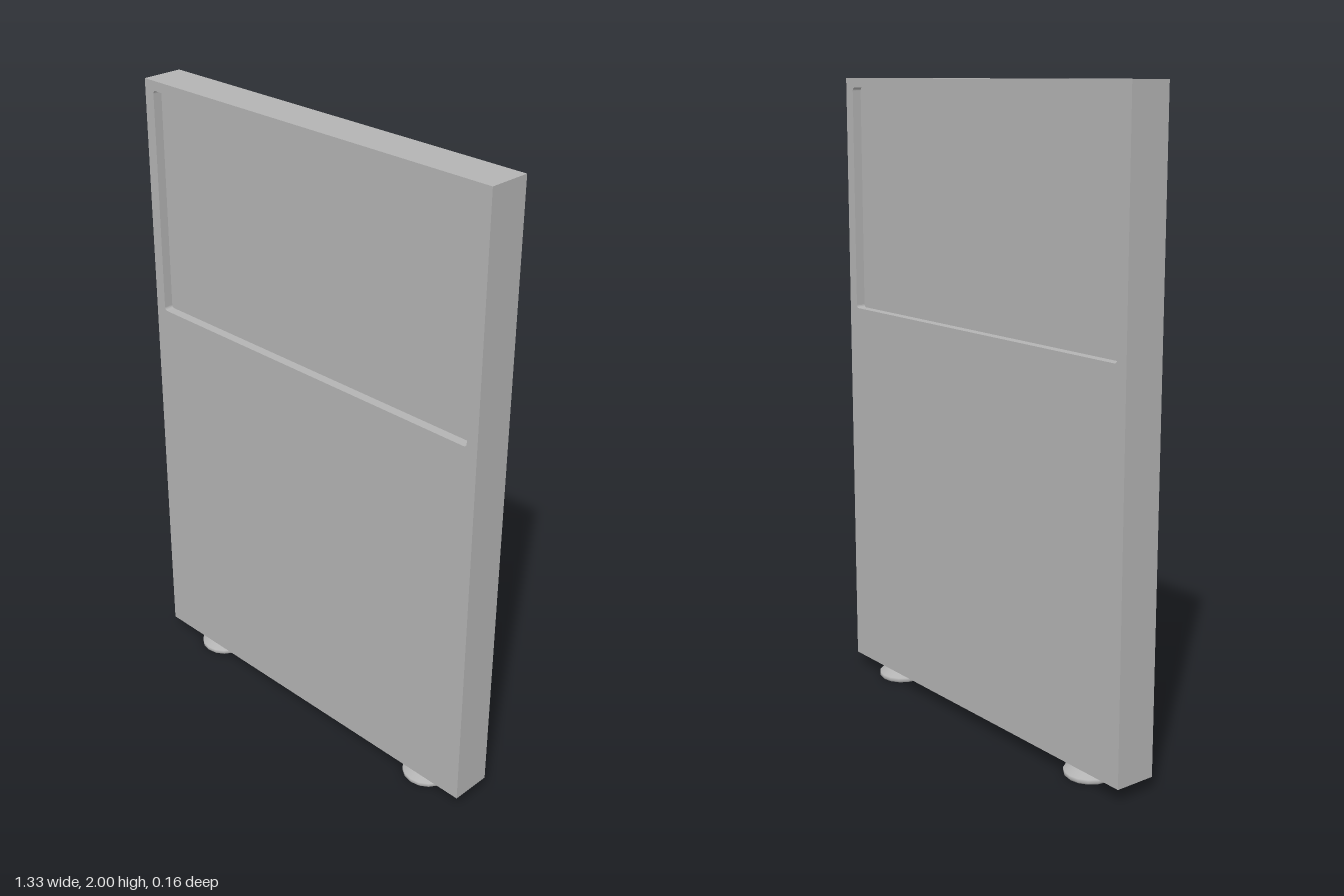
import * as THREE from 'three';

// Rounded rectangle outline, usable as a shape or a hole
function roundedRect(Type, x0, y0, x1, y1, r) {
  const p = new Type();
  p.moveTo(x0 + r, y0);
  p.lineTo(x1 - r, y0);
  p.absarc(x1 - r, y0 + r, r, -Math.PI / 2, 0);
  p.lineTo(x1, y1 - r);
  p.absarc(x1 - r, y1 - r, r, 0, Math.PI / 2);
  p.lineTo(x0 + r, y1);
  p.absarc(x0 + r, y1 - r, r, Math.PI / 2, Math.PI);
  p.lineTo(x0, y0 + r);
  p.absarc(x0 + r, y0 + r, r, Math.PI, Math.PI * 1.5);
  return p;
}

export function createModel() {
  const group = new THREE.Group();
  const grey = new THREE.MeshStandardMaterial({ color: 0xb3b3b3 });
  grey.name = 'grey';

  const add = (name, geometry, x = 0, y = 0, z = 0) => {
    const mesh = new THREE.Mesh(geometry, grey);
    mesh.name = name;
    mesh.position.set(x, y, z);
    group.add(mesh);
  };

  const halfWidth = 0.665, bottom = 0.043, thickness = 0.133, recess = 0.03;
  const win = { x0: -0.628, x1: 0.628, y0: 1.26, y1: 1.97 };

  // Upright board with a rounded opening near the top
  const board = new THREE.Shape();
  board.moveTo(-halfWidth, bottom);
  board.lineTo(halfWidth, bottom);
  board.lineTo(halfWidth, 2);
  board.lineTo(-halfWidth, 2);
  board.closePath();
  board.holes.push(roundedRect(THREE.Path, win.x0, win.y0, win.x1, win.y1, 0.01));
  add('board', new THREE.ExtrudeGeometry(board, {
    depth: thickness, bevelEnabled: false, curveSegments: 4,
  }), 0, 0, -thickness / 2);

  // Pane set back from both faces
  const pane = roundedRect(THREE.Shape, win.x0, win.y0, win.x1, win.y1, 0.01);
  const paneDepth = thickness - 2 * recess;
  add('recessedPane', new THREE.ExtrudeGeometry(pane, {
    depth: paneDepth, bevelEnabled: false, curveSegments: 4,
  }), 0, 0, -paneDepth / 2);

  // Round levelling feet: wide disc, sloping shoulder, short neck
  const footProfile = [
    [0, 0], [0.074, 0], [0.078, 0.005], [0.078, 0.016],
    [0.05, 0.028], [0.046, 0.03], [0.046, bottom + 0.002],
  ].map(([r, y]) => new THREE.Vector2(r, y));
  const foot = new THREE.LatheGeometry(footProfile, 16);
  add('rightFoot', foot, -0.472);
  add('leftFoot', foot, 0.487);

  return group;
}
